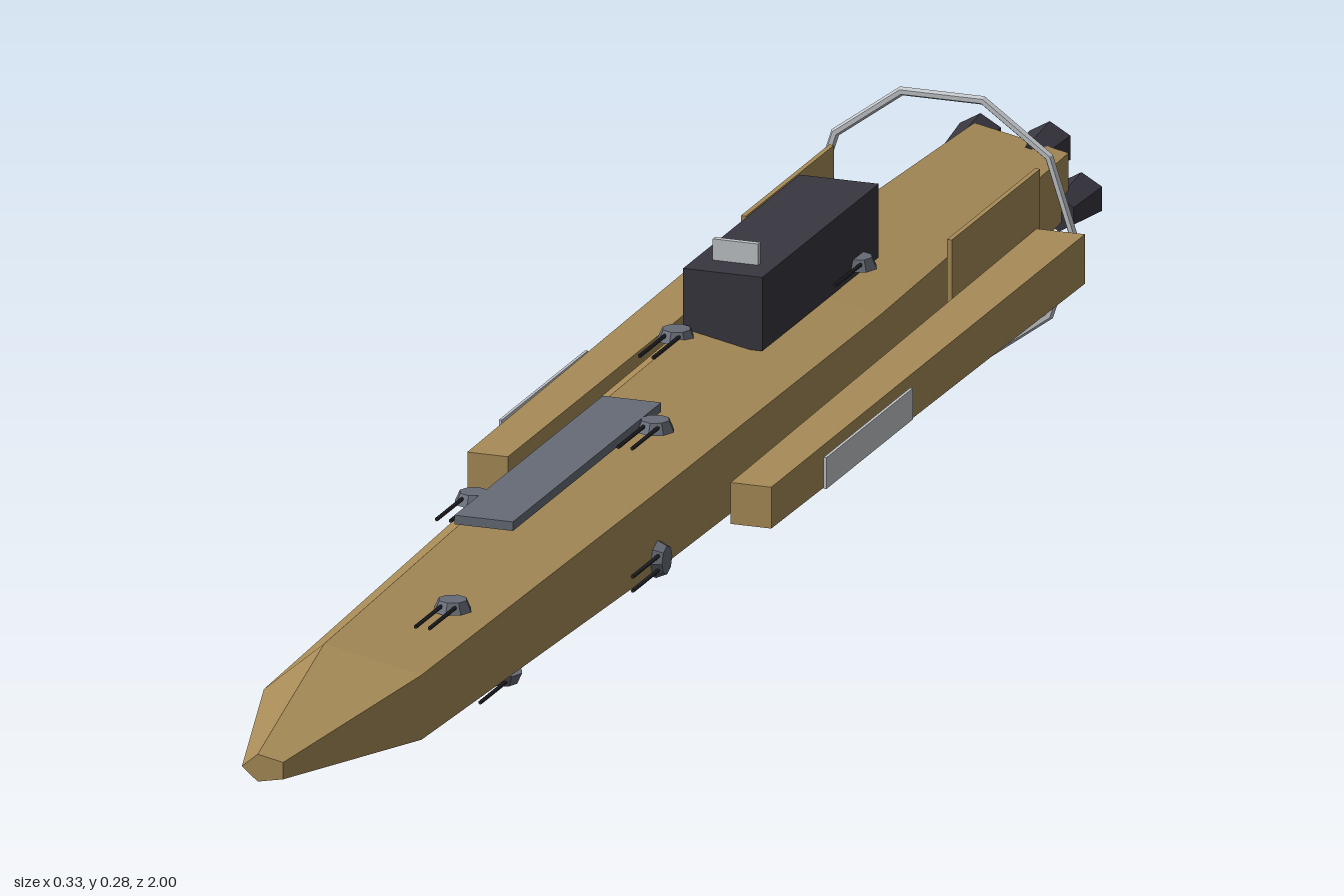
import * as THREE from 'three';

const mat = (name, color) => {
  const m = new THREE.MeshStandardMaterial({ color });
  m.name = name;
  return m;
};

// Faceted normals
const flat = (g) => {
  const f = g.index ? g.toNonIndexed() : g;
  f.computeVertexNormals();
  return f;
};

export function createModel() {
  const root = new THREE.Group();
  root.name = 'spaceship';
  const tan = mat('tan hull', 0xa88c58);
  const pale = mat('pale grey', 0xc2c6ca);
  const dark = mat('dark charcoal', 0x38363f);
  const slate = mat('slate grey', 0x666b76);
  const black = mat('gun black', 0x222226);

  const add = (name, geo, material, x = 0, y = 0, z = 0, parent = root) => {
    const m = new THREE.Mesh(geo, material);
    m.name = name;
    m.position.set(x, y, z);
    parent.add(m);
    return m;
  };
  // Box given by its limits
  const slab = (name, material, x0, x1, y0, y1, z0, z1) =>
    add(name, new THREE.BoxGeometry(x1 - x0, y1 - y0, z1 - z0), material,
      (x0 + x1) / 2, (y0 + y1) / 2, (z0 + z1) / 2);

  // Five-sided hull tapering along z
  const stations = [[1, 0.023], [0.77, 0.088], [0.2, 0.106], [-0.4, 0.113], [-0.96, 0.085]];
  const hull = new THREE.CylinderGeometry(1, 1, 4, 5, 4, false, -Math.PI / 2);
  hull.rotateX(Math.PI / 2);
  const p = hull.attributes.position;
  for (let i = 0; i < p.count; i++) {
    const [z, r] = stations[Math.round(2 - p.getZ(i))];
    p.setXYZ(i, p.getX(i) * r, 0.132 + p.getY(i) * r * 0.62, z);
  }
  add('hull', flat(hull), tan);

  // Plates, command block and sensor screen
  slab('topPlate', slate, -0.032, 0.027, 0.194, 0.203, 0.015, 0.41);
  slab('bellyPlate', tan, -0.035, 0.035, 0.063, 0.068, -0.37, 0.412);
  slab('commandBlock', dark, -0.04, 0.04, 0.185, 0.258, -0.53, -0.22);
  slab('sensorScreen', pale, -0.023, 0.023, 0.258, 0.279, -0.26, -0.254);

  // Side pods, their outer panels and the rear fins
  for (const s of [1, -1]) {
    const pod = new THREE.CylinderGeometry(0.0205 * Math.SQRT2, 0.0245 * Math.SQRT2, 0.825, 4, 1, false, Math.PI / 4);
    pod.rotateX(Math.PI / 2);
    add('sidePod', flat(pod), tan, s * 0.133, 0.125, -0.357);
    add('podPanel', new THREE.BoxGeometry(0.003, 0.031, 0.23), pale, s * 0.164, 0.126, -0.175);
    add('rearFin', new THREE.BoxGeometry(0.005, 0.14, 0.235), tan, s * 0.104, 0.134, -0.667);
  }

  // Ten-sided ring around the stern
  add('sternRing', flat(new THREE.TorusGeometry(0.1335, 0.0045, 6, 10)), pale, 0, 0.1315, -0.805);

  // Gun turrets: a low drum with twin barrels
  const drum = flat(new THREE.CylinderGeometry(0.014, 0.019, 0.011, 8));
  const barrel = new THREE.CylinderGeometry(0.002, 0.002, 0.08, 6).rotateX(Math.PI / 2);
  const turret = (x, y, z, roll) => {
    const g = new THREE.Group();
    g.name = 'turret';
    add('turretDrum', drum, slate, 0, 0, 0, g);
    for (const s of [1, -1]) add('gunBarrel', barrel, black, s * 0.007, 0.001, 0.04, g);
    g.position.set(x, y, z);
    g.rotation.z = roll;
    root.add(g);
  };
  for (let i = 0; i < 5; i++) {
    turret(i % 2 ? -0.041 : 0.04, i ? 0.1975 : 0.181, 0.605 - 0.27 * i, 0);
  }
  for (let i = 0; i < 4; i++) turret(i % 2 ? -0.04 : 0.04, 0.069, 0.47 - 0.27 * i, Math.PI);
  turret(-0.083, 0.104, 0.18, Math.PI / 2);
  turret(0.09, 0.104, 0.18, -Math.PI / 2);

  // Engine nozzles: three below, two above
  const nozzle = flat(new THREE.CylinderGeometry(0.017, 0.024, 0.06, 6).rotateX(Math.PI / 2));
  const glow = new THREE.CircleGeometry(0.018, 6).rotateZ(Math.PI / 2).rotateY(Math.PI);
  for (const [x, y] of [[-0.067, 0.108], [0, 0.108], [0.067, 0.108], [-0.035, 0.155], [0.035, 0.155]]) {
    add('engineNozzle', nozzle, dark, x, y, -0.969);
    add('engineOutlet', glow, pale, x, y, -1);
  }
  return root;
}
